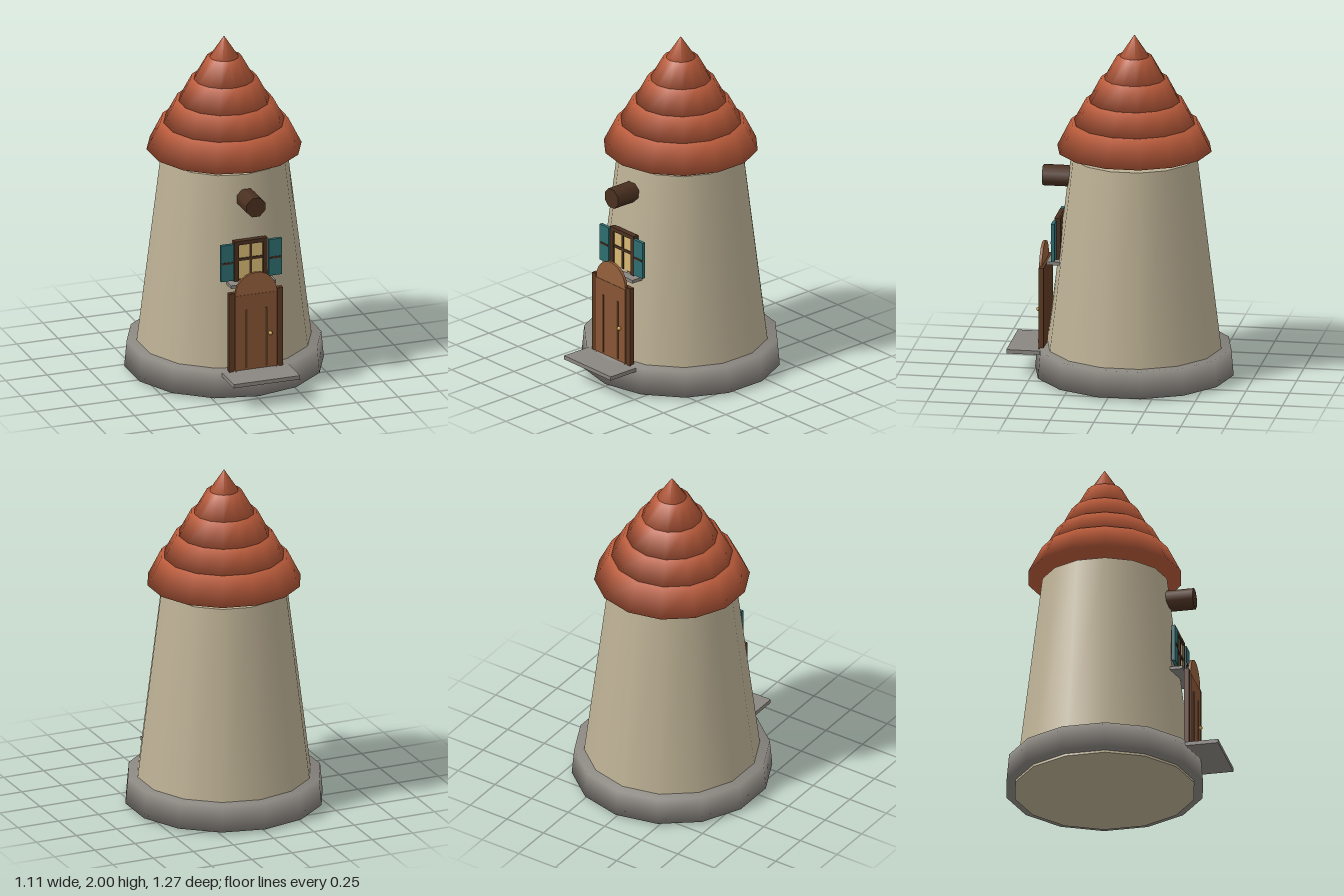
import * as THREE from 'three';
import { mergeVertices } from 'three/addons/utils/BufferGeometryUtils.js';

const mat = (name, color) => new THREE.MeshStandardMaterial({ name, color });

export function createModel() {
  const plaster = mat('plaster', 0xbcb094);
  const stone = mat('stone', 0x8a8680);
  const tile = mat('roof tile', 0xb85a3a);
  const darkWood = mat('dark wood', 0x4a3020);
  const frameWood = mat('frame wood', 0x5e3a22);
  const doorWood = mat('door wood', 0x875534);
  const archWood = mat('arch wood', 0x94603c);
  const teal = mat('shutter teal', 0x2f6d70);
  const glass = mat('lit glass', 0xd8ba74);
  const brass = mat('brass', 0xc8a050);

  const model = new THREE.Group();
  model.name = 'roundTower';
  const SIDES = 14;
  const AXIS_Z = -0.068;

  const add = (name, geometry, material, x = 0, y = 0, z = 0, parent = model) => {
    const mesh = new THREE.Mesh(geometry, material);
    mesh.name = name;
    mesh.position.set(x, y, z);
    parent.add(mesh);
    return mesh;
  };
  // Box given by its centre x, bottom/top y and back/front z
  const box = (name, material, x, w, y0, y1, z0, z1, parent = model) =>
    add(name, new THREE.BoxGeometry(w, y1 - y0, z1 - z0), material, x, (y0 + y1) / 2, (z0 + z1) / 2, parent);

  // Closed frustum with normals smoothed across its rims
  const softFrustum = (rTop, rBottom, height) => {
    const g = new THREE.CylinderGeometry(rTop, rBottom, height, SIDES);
    g.deleteAttribute('normal');
    g.deleteAttribute('uv');
    const merged = mergeVertices(g, 1e-4);
    merged.computeVertexNormals();
    return merged;
  };

  // Walls and stone footing
  add('towerWall', new THREE.CylinderGeometry(0.362, 0.52, 1.29, SIDES), plaster, 0, 0.645, AXIS_Z);
  add('footing', softFrustum(0.556, 0.57, 0.155), stone, 0, 0.0925, AXIS_Z);

  // Stepped conical roof: [bottom y, top y, bottom radius, top radius]
  const tiers = [
    [1.33, 1.487, 0.443, 0.364],
    [1.48, 1.615, 0.349, 0.277],
    [1.608, 1.745, 0.263, 0.191],
    [1.738, 1.875, 0.176, 0.1],
    [1.868, 2.0, 0.087, 0.001],
  ];
  const roof = new THREE.Group();
  roof.name = 'roof';
  model.add(roof);
  tiers.forEach(([y0, y1, r0, r1], i) =>
    add(`roofTier${i + 1}`, softFrustum(r1, r0, y1 - y0), tile, 0, (y0 + y1) / 2, AXIS_Z, roof));

  // Beam end above the window
  const beam = new THREE.CylinderGeometry(0.061, 0.061, 0.255, 8);
  beam.rotateY(Math.PI / 8);
  beam.rotateX(Math.PI / 2);
  add('beamEnd', beam, darkWood, 0, 1.148, 0.3275);

  // Door with arched head, plank grooves and knob
  const door = new THREE.Group();
  door.name = 'door';
  model.add(door);
  box('doorFrame', frameWood, 0, 0.325, 0.165, 0.642, 0.428, 0.452, door);
  box('doorLeaf', doorWood, 0, 0.25, 0.165, 0.625, 0.45, 0.461, door);
  const arch = new THREE.CylinderGeometry(0.125, 0.125, 0.016, 24);
  arch.rotateX(Math.PI / 2);
  add('doorArch', arch, archWood, 0, 0.63, 0.451, door);
  for (const s of [-1, 1]) {
    box('plankGroove', frameWood, s * 0.062, 0.014, 0.18, 0.535, 0.458, 0.465, door);
    box('doorPost', frameWood, s * 0.146, 0.034, 0.165, 0.64, 0.43, 0.457, door);
  }
  add('doorKnob', new THREE.SphereGeometry(0.012, 10, 8), brass, 0.083, 0.377, 0.47, door);

  // Doorstep
  box('doorstep', stone, 0, 0.4, 0.14, 0.163, 0.34, 0.635);

  // Window with crossbars, sill and shutters
  const win = new THREE.Group();
  win.name = 'window';
  model.add(win);
  box('windowBack', darkWood, 0, 0.2, 0.68, 0.92, 0.34, 0.362, win);
  box('windowPane', glass, 0, 0.15, 0.69, 0.9, 0.361, 0.366, win);
  box('windowHead', darkWood, 0, 0.2, 0.898, 0.922, 0.35, 0.376, win);
  box('crossbarUpright', darkWood, 0, 0.014, 0.69, 0.9, 0.362, 0.372, win);
  box('crossbarLevel', darkWood, 0, 0.15, 0.8, 0.816, 0.362, 0.372, win);
  box('windowSill', stone, 0, 0.27, 0.655, 0.674, 0.34, 0.415, win);
  for (const s of [-1, 1]) {
    box('windowJamb', darkWood, s * 0.087, 0.026, 0.68, 0.92, 0.35, 0.376, win);
    box('shutter', teal, s * 0.145, 0.078, 0.69, 0.91, 0.362, 0.382, win);
    box('shutterRail', darkWood, s * 0.145, 0.066, 0.793, 0.804, 0.381, 0.386, win);
  }
  return model;
}
